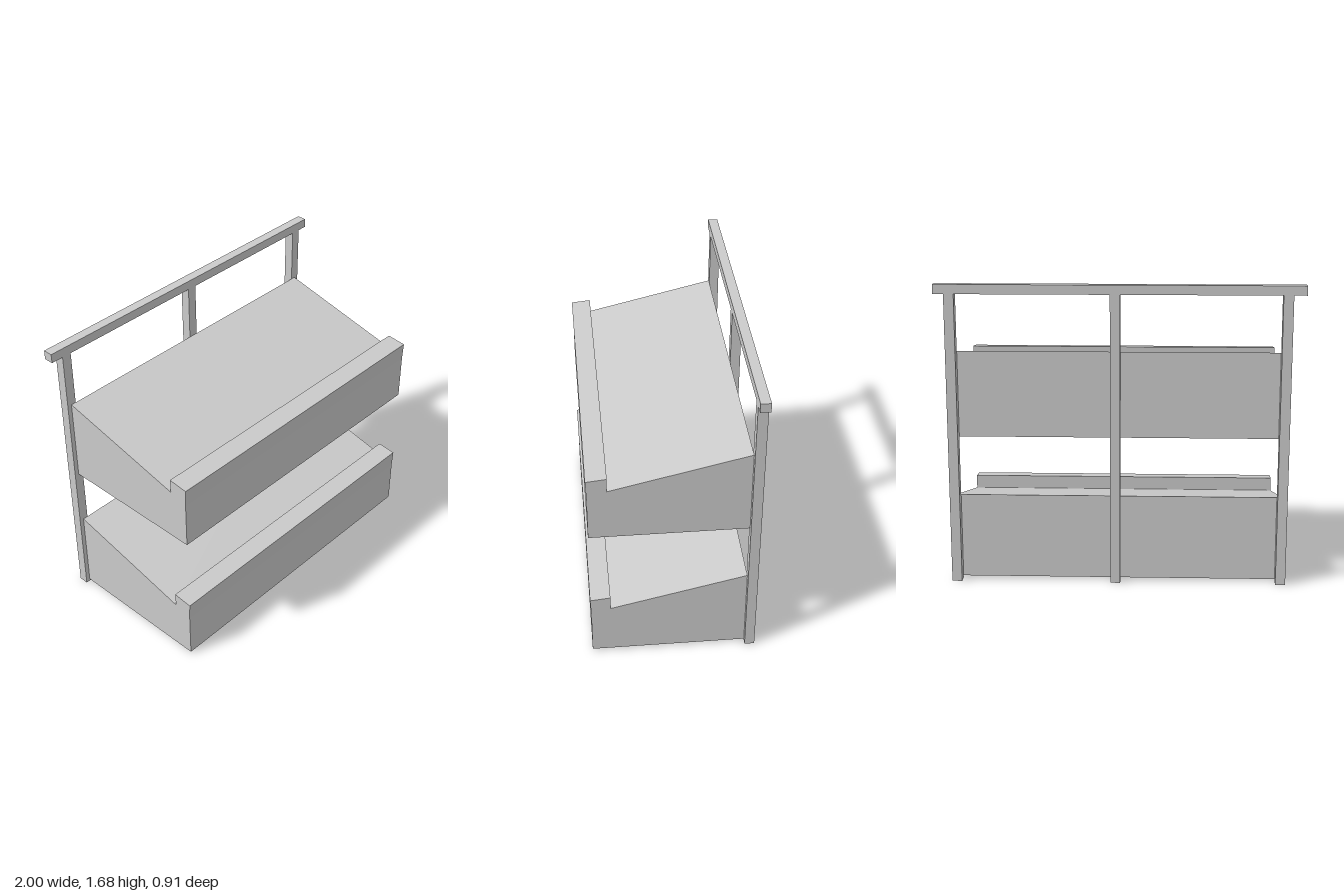
import * as THREE from 'three';

export function createModel() {
  const model = new THREE.Group();
  const material = new THREE.MeshStandardMaterial({ color: 0xcccccc, flatShading: true });

  function add(name, geometry, x, y, z) {
    const mesh = new THREE.Mesh(geometry, material);
    mesh.name = name;
    mesh.position.set(x, y, z);
    model.add(mesh);
  }

  // Uprights and top rail along the back
  const backZ = -0.428, bar = 0.055, postHeight = 1.625;
  const post = new THREE.BoxGeometry(bar, postHeight, bar);
  [['rightPost', -0.902], ['middlePost', 0.022], ['leftPost', 0.915]].forEach(([name, x]) =>
    add(name, post, x, postHeight / 2, backZ));
  add('topRail', new THREE.BoxGeometry(2, 0.052, bar), 0, 1.651, backZ);

  // Shelf bin: side profile as (z, y), with a sloped top and a raised front lip
  const profile = new THREE.Shape([
    [-0.4, 0], [0.452, 0], [0.452, 0.27], [0.456, 0.367],
    [0.345, 0.379], [0.347, 0.3], [-0.4, 0.48],
  ].map(([z, y]) => new THREE.Vector2(z, y)));
  const width = 1.82;
  const bin = new THREE.ExtrudeGeometry(profile, { depth: width, bevelEnabled: false });
  bin.translate(0, 0, -width / 2).rotateY(-Math.PI / 2);
  add('lowerShelf', bin, 0.005, 0.013, 0);
  add('upperShelf', bin, 0.005, 0.828, 0);

  return model;
}
